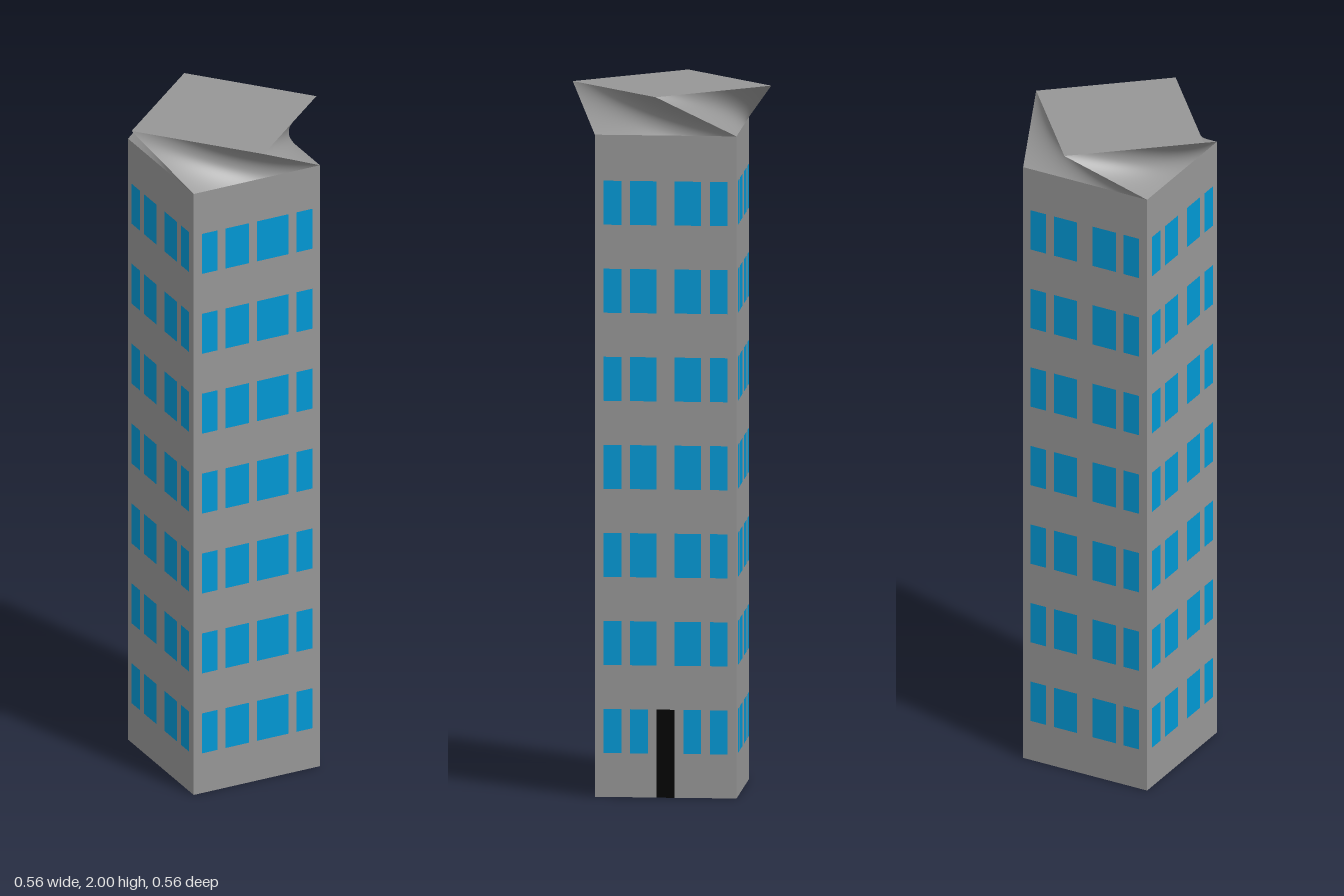
import * as THREE from 'three';
import { ParametricGeometry } from 'three/addons/geometries/ParametricGeometry.js';

const HALF = 0.2, WALL_TOP = 1.88, TOP = 2, FLOORS = 7;
const TWIST = THREE.MathUtils.degToRad(-49.2);

const grey = new THREE.MeshStandardMaterial({ color: 0x969696 });
const blue = new THREE.MeshStandardMaterial({ color: 0x0098d4 });
const black = new THREE.MeshStandardMaterial({ color: 0x000000 });

function mesh(name, geometry, material, parent) {
  const m = new THREE.Mesh(geometry, material);
  m.name = name;
  parent.add(m);
  return m;
}

// Flat panel lying just proud of a wall, from x0..x1 and y0..y1
function panel(name, x0, x1, y0, y1, material, parent) {
  const m = mesh(name, new THREE.PlaneGeometry(x1 - x0, y1 - y0), material, parent);
  m.position.set((x0 + x1) / 2, (y0 + y1) / 2, HALF + 0.0015);
}

// One ruled side of the twisted crown: straight lines from wall edge to turned roof edge
function crownSide() {
  const axis = new THREE.Vector3(0, 1, 0);
  const high = new THREE.Vector3();
  return new ParametricGeometry((u, v, target) => {
    const x = (u * 2 - 1) * HALF;
    high.set(x, TOP, HALF).applyAxisAngle(axis, TWIST);
    target.set(x, WALL_TOP, HALF).lerp(high, v);
  }, 24, 16);
}

export function createModel() {
  const tower = new THREE.Group();
  tower.name = 'tower';

  // Square shaft
  mesh('shaft', new THREE.BoxGeometry(HALF * 2, WALL_TOP, HALF * 2), grey, tower)
    .position.y = WALL_TOP / 2;

  // Window columns for each kind of wall
  const even = [[-0.175, -0.125], [-0.1, -0.025], [0.025, 0.1], [0.125, 0.175]];
  const wide = [[-0.175, -0.125], [-0.1, -0.025], [0, 0.1], [0.125, 0.175]];
  const besideDoor = [[-0.175, -0.125], [-0.1, -0.05], [0.05, 0.1], [0.125, 0.175]];

  // Four walls: front, left (with the door), back, right
  ['front', 'left', 'back', 'right'].forEach((side, i) => {
    const wall = new THREE.Group();
    wall.name = side + 'Wall';
    wall.rotation.y = i * Math.PI / 2;
    tower.add(wall);

    for (let floor = 0; floor < FLOORS; floor++) {
      const y = 0.125 + floor * 0.25;
      let columns = side === 'front' ? wide : even;
      if (side === 'left' && floor === 0) columns = besideDoor;
      for (const [x0, x1] of columns) panel('window', x0, x1, y, y + 0.125, blue, wall);
    }
    if (side === 'left') panel('door', -0.025, 0.025, 0, 0.25, black, wall);

    mesh('crownSide', crownSide(), grey, wall);
  });

  // Turned square landing deck
  const deck = mesh('landingDeck',
    new THREE.PlaneGeometry(HALF * 2, HALF * 2).rotateX(-Math.PI / 2), grey, tower);
  deck.rotation.y = TWIST;
  deck.position.y = TOP;

  return tower;
}
